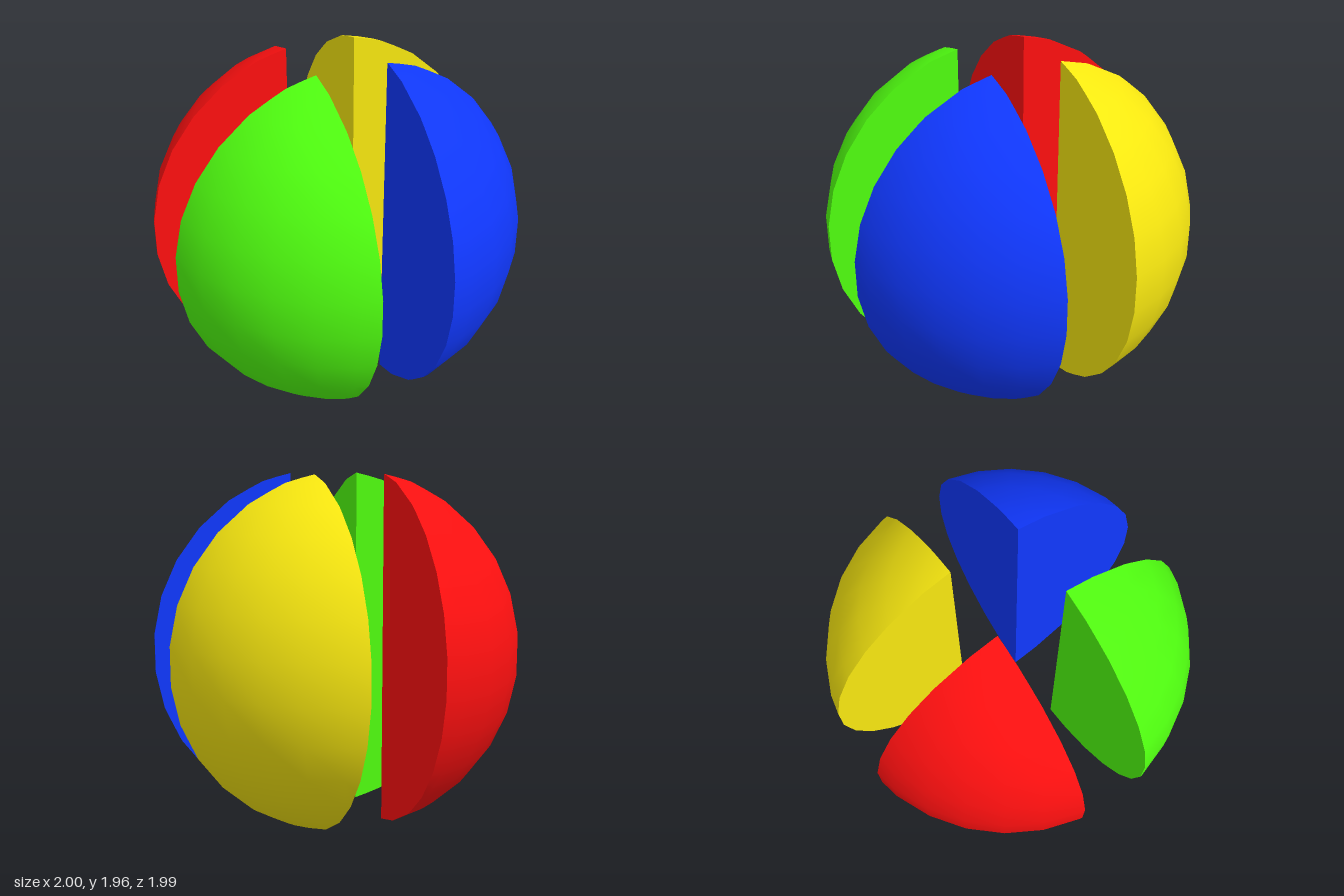
import * as THREE from 'three';

const RADIUS = 1.0254; // of the whole ball
const GAP = 0.2;       // half the gap between quarters
const CENTRE_Y = 0.98;

// Cut a convex polygon, keeping the part where sign * p[axis] >= GAP
function clip(points, axis, sign) {
  const out = [];
  points.forEach((a, i) => {
    const b = points[(i + 1) % points.length];
    const da = sign * a[axis] - GAP, db = sign * b[axis] - GAP;
    if (da >= 0) out.push(a);
    if (da * db < 0) {
      const p = a.clone().lerp(b, da / (da - db));
      p[axis] = sign * GAP;
      out.push(p);
    }
  });
  return out;
}

// One quarter of the ball: smooth outer skin and two flat inner faces
function quarterGeometry(sx, sz) {
  const ball = new THREE.SphereGeometry(RADIUS, 30, 15).toNonIndexed().getAttribute('position');
  const positions = [], normals = [];
  const rims = { x: [], z: [] };
  const addFan = (pts, normalOf) => {
    for (let i = 1; i < pts.length - 1; i++) {
      for (const p of [pts[0], pts[i], pts[i + 1]]) {
        positions.push(p.x, p.y, p.z);
        normals.push(...normalOf(p).toArray());
      }
    }
  };

  // outer skin
  for (let i = 0; i < ball.count; i += 3) {
    const tri = [0, 1, 2].map((k) => new THREE.Vector3().fromBufferAttribute(ball, i + k));
    const part = clip(clip(tri, 'x', sx), 'z', sz);
    if (part.length < 3) continue;
    addFan(part, (p) => p.clone().normalize());
    for (const axis of ['x', 'z']) {
      const s = axis === 'x' ? sx : sz;
      rims[axis].push(...part.filter((p) => Math.abs(p[axis] - s * GAP) < 1e-6));
    }
  }

  // flat inner faces, filled from the rim left by each cut
  for (const axis of ['x', 'z']) {
    const normal = axis === 'x' ? new THREE.Vector3(-sx, 0, 0) : new THREE.Vector3(0, 0, -sz);
    const rim = rims[axis].sort((a, b) => a.y - b.y)
      .filter((p, i, all) => i === 0 || p.distanceTo(all[i - 1]) > 1e-5);
    const mid = rim[rim.length >> 1];
    const turn = mid.clone().sub(rim[0]).cross(rim[rim.length - 1].clone().sub(rim[0]));
    if (turn.dot(normal) < 0) rim.reverse();
    addFan(rim, () => normal);
  }

  const geometry = new THREE.BufferGeometry();
  geometry.setAttribute('position', new THREE.Float32BufferAttribute(positions, 3));
  geometry.setAttribute('normal', new THREE.Float32BufferAttribute(normals, 3));
  return geometry;
}

export function createModel() {
  const model = new THREE.Group();
  model.name = 'quarteredBall';
  const quarters = [
    ['frontLeftQuarter', 1, 1, 0x1038ff],
    ['frontRightQuarter', -1, 1, 0x50ff10],
    ['backLeftQuarter', 1, -1, 0xf8e810],
    ['backRightQuarter', -1, -1, 0xff1010],
  ];
  for (const [name, sx, sz, color] of quarters) {
    const mesh = new THREE.Mesh(quarterGeometry(sx, sz), new THREE.MeshStandardMaterial({ color }));
    mesh.name = name;
    mesh.position.y = CENTRE_Y;
    model.add(mesh);
  }
  return model;
}
